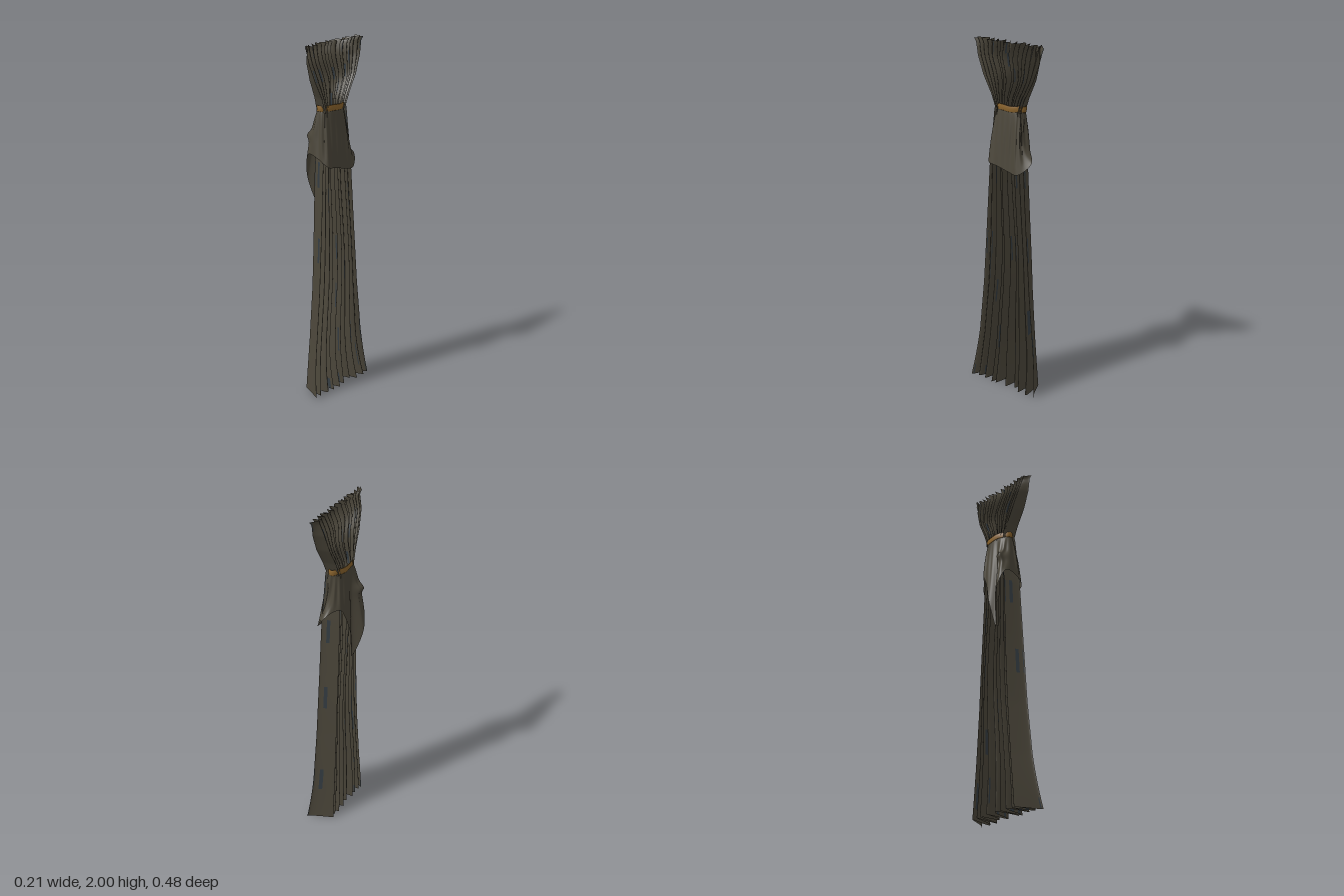
import * as THREE from 'three';

const { lerp } = THREE.MathUtils;
const TAU = Math.PI * 2;

// Linear table lookup: rows of [y, v1, v2, ...] from high y to low y
function sample(rows, y) {
  let i = 0;
  while (i < rows.length - 2 && y < rows[i + 1][0]) i++;
  const a = rows[i], b = rows[i + 1];
  const t = THREE.MathUtils.clamp((a[0] - y) / (a[0] - b[0]), 0, 1);
  return a.slice(1).map((v, k) => lerp(v, b[k + 1], t));
}

// Grid surface from a rule f(u, v) -> [x, y, z]; streak(i, j) picks the second material
function surface(f, nu, nv, closed = false, streak = null) {
  const cols = closed ? nu : nu + 1;
  const pos = [], plain = [], accent = [];
  for (let j = 0; j <= nv; j++)
    for (let i = 0; i < cols; i++) pos.push(...f(i / nu, j / nv));
  for (let j = 0; j < nv; j++)
    for (let i = 0; i < nu; i++) {
      const a = j * cols + i, b = j * cols + ((i + 1) % cols);
      const c = a + cols, d = b + cols;
      (streak && streak(i, j) ? accent : plain).push(a, c, b, b, c, d);
    }
  const g = new THREE.BufferGeometry();
  g.setAttribute('position', new THREE.Float32BufferAttribute(pos, 3));
  g.setIndex([...plain, ...accent]);
  g.addGroup(0, plain.length, 0);
  if (accent.length) g.addGroup(plain.length, accent.length, 1);
  g.computeVertexNormals();
  return g;
}

// Repeatable pseudo-random value in 0..1
const hash = (a, b = 0) => {
  const s = Math.sin(a * 127.1 + b * 311.7) * 43758.5453;
  return s - Math.floor(s);
};
// Rounded bump of the given width around a centre
const bump = (x, centre, width) => Math.exp(-(((x - centre) / width) ** 2));

// Pleated cloth hanging across z; rows hold y, front z, back z, centre x, depth
function pleats(rows, folds, yTop, yBottom, { taper, slant, hem = 0, crimp = 0 }) {
  return (u, v) => {
    let y = lerp(yTop, yBottom, v);
    const [z1, z0, xc, depth] = sample(rows, y);
    const s = 1 - 2 * u;
    const mid = Math.sin(Math.PI * u);
    const wobble = (0.014 * Math.sin(u * 17) + 0.008 * Math.sin(u * 31 + 2 * v)) * mid;
    const phase = TAU * folds * (u + wobble);
    const wave = Math.tanh(1.8 * Math.cos(phase)) / Math.tanh(1.8);
    const vary = 1 - mid * (0.13 + 0.13 * Math.sin(u * 37 + 1 + v));
    const round = Math.sqrt(1 - taper * s * s);
    const lap = 0.13 * Math.sin(2 * phase) / folds * mid;
    const sway = 0.012 * Math.sin(v * 9) * mid;
    let x = xc + depth * wave * vary * round;
    // outward spread and uneven edge at the floor
    const flare = hem * Math.max(0, 1 - y / 0.3) ** 2;
    x += flare * (0.75 + 0.35 * Math.sin(u * 13 + 3)) * (0.5 + 0.5 * wave);
    if (hem) y += 0.012 * v ** 20 * (0.5 + 0.5 * Math.sin(u * 31)) * mid;
    // uneven heading
    y -= crimp * (1 - v) ** 16 * (0.5 + 0.5 * Math.sin(u * 71));
    // the -x side is narrower, so the end panels slant
    const narrow = 1 - slant * s * s * (0.5 - 0.5 * wave);
    return [x, y, lerp(z1, z0, u) * narrow + lap * (z1 - z0) * 0.5 + sway];
  };
}

export function createModel() {
  const group = new THREE.Group();
  group.name = 'curtain';
  const mat = (name, color) => {
    const m = new THREE.MeshStandardMaterial({ color, side: THREE.DoubleSide });
    m.name = name;
    return m;
  };
  const cloth = mat('brown grey cloth', 0x4b463a);
  const slate = mat('slate sheen', 0x343c42);
  const gold = mat('gold tie', 0x88622c);
  const add = (name, geometry, material) => {
    const mesh = new THREE.Mesh(geometry, material);
    mesh.name = name;
    group.add(mesh);
  };
  // Thin, sparse vertical streaks of sheen
  const streaks = (seed) => (i, j) => hash(i + seed, Math.floor(j / 7)) < 0.035;

  // Gathered upper curtain with a crimped heading
  const upper = [
    [2.0, 0.242, -0.242, 0.013, 0.02],
    [1.975, 0.228, -0.23, 0.013, 0.014],
    [1.9, 0.21, -0.212, 0.006, 0.031],
    [1.8, 0.168, -0.172, 0.003, 0.041],
    [1.7, 0.112, -0.116, 0, 0.044],
    [1.64, 0.09, -0.09, -0.002, 0.044],
    [1.6, 0.09, -0.09, -0.002, 0.042],
  ];
  add('upperCurtain', surface(pleats(upper, 15, 2, 1.62, { taper: 0.4, slant: 0.12, crimp: 0.01 }),
    300, 38, false, streaks(0)), [cloth, slate]);

  // Long lower curtain falling to the floor
  const lower = [
    [1.64, 0.088, -0.088, -0.002, 0.042],
    [1.34, 0.116, -0.118, 0, 0.05],
    [1.0, 0.135, -0.14, 0.002, 0.053],
    [0.6, 0.16, -0.17, 0.004, 0.055],
    [0.3, 0.19, -0.202, 0.005, 0.058],
    [0, 0.232, -0.237, 0.008, 0.064],
  ];
  add('lowerCurtain', surface(pleats(lower, 9, 1.63, 0, { taper: 0.2, slant: 0.3, hem: 0.03 }),
    270, 80, false, streaks(409)), [cloth, slate]);

  // Draped overskirt: a ring at the tie spreading to an uneven hem
  const hemLoop = new THREE.CatmullRomCurve3([
    [0.07, 1.33, 0.105], [0.07, 1.315, 0.04], [0.07, 1.295, -0.04],
    [0.075, 1.29, -0.1], [0.03, 1.355, -0.163], [-0.02, 1.41, -0.115],
    [-0.052, 1.42, -0.085], [-0.062, 1.36, -0.05], [-0.075, 1.22, -0.01],
    [-0.056, 1.065, 0.028], [-0.105, 1.24, 0.075], [-0.06, 1.385, 0.116],
    [0.015, 1.37, 0.122],
  ].map((p) => new THREE.Vector3(...p)), true, 'centripetal');
  const angles = [0.95, 0.45, -0.45, -0.95, -1.57, -1.95, -2.4, -2.8, -3.1, -3.4, -3.8, -4.35, -4.75, -5.333];
  const skirt = (u, v) => {
    const hem = hemLoop.getPoint(u);
    const k = u * 13, i = Math.min(12, Math.floor(k));
    const a = lerp(angles[i], angles[i + 1], k - i);
    const ripple = 1 + 0.04 * Math.sin(a * 15) * Math.sin(Math.PI * v);
    const y = lerp(1.635, hem.y, v);
    // the back corner kicks out late; the long side flap bulges near its top
    const t = Math.pow(v, 0.75 + 4 * bump(k, 4, 0.8));
    const bulge = 0.024 * bump(y, 1.485, 0.025) * bump(k, 10.4, 0.7);
    return [
      lerp(-0.001 + 0.043 * Math.cos(a), hem.x, Math.pow(v, 0.75)) * ripple - bulge,
      y,
      lerp(0.091 * Math.sin(a), hem.z, t) * ripple,
    ];
  };
  add('overskirt', surface(skirt, 208, 32, true), cloth);

  // Tie band around the waist
  const band = (u, v) => {
    const a = u * TAU, b = v * TAU;
    const r = 0.003 * Math.cos(b);
    return [
      -0.002 + (0.046 + r) * Math.cos(a),
      1.641 + 0.017 * Math.sin(b) + 0.002 * Math.sin(a * 5),
      (0.094 + r) * Math.sin(a),
    ];
  };
  add('tieBand', surface(band, 96, 12, true), gold);

  return group;
}
